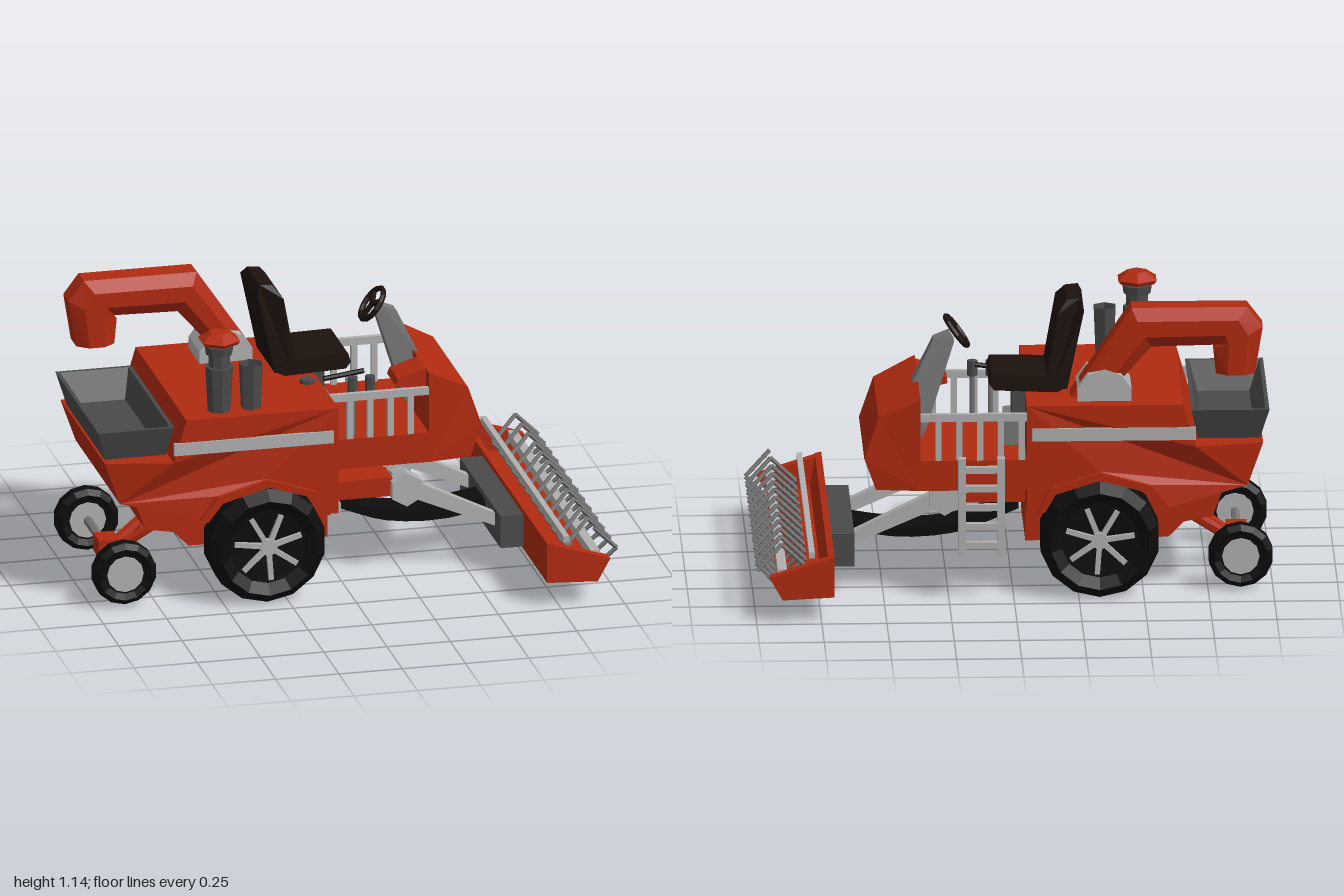
import * as THREE from 'three';
import { mergeGeometries } from 'three/addons/utils/BufferGeometryUtils.js';

const mat = (color) => new THREE.MeshStandardMaterial({ color, flatShading: true, side: THREE.DoubleSide });
const V = (x, y, z) => new THREE.Vector3(x, y, z);

export function createModel() {
  const root = new THREE.Group();
  const red = mat(0xb02a10), dark = mat(0x4a4a4a), mid = mat(0x777777);
  const light = mat(0xb0b0b0), black = mat(0x0c0c0c), leather = mat(0x1c120e);

  const add = (name, geo, material, parent = root) => {
    const m = new THREE.Mesh(geo, material);
    m.name = name;
    parent.add(m);
    return m;
  };
  // Box given by its two extreme corners
  const box = (x0, x1, y0, y1, z0, z1) =>
    new THREE.BoxGeometry(x1 - x0, y1 - y0, z1 - z0).translate((x0 + x1) / 2, (y0 + y1) / 2, (z0 + z1) / 2);
  // Side profile in x, y stretched from z0 to z1
  const slab = (pts, z0, z1) =>
    new THREE.ExtrudeGeometry(new THREE.Shape(pts.map((p) => new THREE.Vector2(...p))),
      { depth: z1 - z0, bevelEnabled: false }).translate(0, 0, z0);
  // Straight rod between two points
  const rod = (a, b, r, sides = 6) => {
    const d = b.clone().sub(a);
    const q = new THREE.Quaternion().setFromUnitVectors(V(0, 1, 0), d.clone().normalize());
    return new THREE.CylinderGeometry(r, r, d.length(), sides).applyQuaternion(q)
      .translate((a.x + b.x) / 2, (a.y + b.y) / 2, (a.z + b.z) / 2);
  };
  const pole = (x, z, y0, y1, r0, r1, sides = 8, open = false) =>
    new THREE.CylinderGeometry(r1, r0, y1 - y0, sides, 1, open).translate(x, (y0 + y1) / 2, z);
  // Skin through equal-length loops, closed at both ends
  const loft = (loops) => {
    const n = loops[0].length, pos = [], tri = (...v) => v.forEach((p) => pos.push(p.x, p.y, p.z));
    for (let i = 0; i < loops.length - 1; i++) {
      for (let j = 0; j < n; j++) {
        const k = (j + 1) % n, A = loops[i], B = loops[i + 1];
        tri(A[j], A[k], B[k]);
        tri(A[j], B[k], B[j]);
      }
    }
    for (let j = 1; j < n - 1; j++) {
      const A = loops[0], B = loops[loops.length - 1];
      tri(A[0], A[j + 1], A[j]);
      tri(B[0], B[j], B[j + 1]);
    }
    const g = new THREE.BufferGeometry();
    g.setAttribute('position', new THREE.Float32BufferAttribute(pos, 3));
    g.computeVertexNormals();
    return g;
  };
  const taperZ = (geo, centre, factor) => {
    const p = geo.attributes.position;
    for (let i = 0; i < p.count; i++) p.setZ(i, centre + (p.getZ(i) - centre) * factor(p.getX(i), p.getY(i)));
    geo.computeVertexNormals();
    return geo;
  };

  // Body: side shells with wheel arches around a narrower belly
  const top = [[-0.05, 0.77], [-0.65, 0.77], [-0.70, 0.60], [-0.96, 0.60], [-0.90, 0.43]];
  const arch = [[-0.60, 0.36], [-0.53, 0.45], [-0.33, 0.505], [-0.14, 0.44], [-0.085, 0.34], [-0.05, 0.34]];
  const rearTaper = (x) => (x < -0.8 ? 0.87 : 1);
  for (const [name, z0, z1] of [['leftBodySide', 0.21, 0.41], ['rightBodySide', -0.43, -0.23]])
    add(name, taperZ(slab([...top, ...arch], z0, z1), -0.01, rearTaper), red);
  add('bodyCore', slab([...top, [-0.83, 0.43], [-0.77, 0.27], [-0.66, 0.25], [-0.60, 0.19], [-0.05, 0.18]],
    -0.25, 0.23), red);
  for (const z of [0.41, -0.43]) {
    add('sideStripe', box(-0.70, -0.07, 0.63, 0.68, z - 0.006, z + 0.006), light);
    // Thin lip over each wheel arch
    const lip = [...arch.slice(0, 5), [-0.12, 0.35], [-0.16, 0.42], [-0.33, 0.475], [-0.51, 0.425], [-0.57, 0.35]];
    add('wheelArchLip', slab(lip, z - 0.02, z + 0.02), red);
  }

  // Operator platform, nose and side fairing
  add('platformFloor', box(-0.05, 0.37, 0.435, 0.555, -0.43, 0.19), red);
  add('nose', taperZ(slab([[0.36, 0.435], [0.53, 0.435], [0.575, 0.56], [0.52, 0.72], [0.36, 0.80]], -0.43, 0.19),
    -0.12, (x) => (x > 0.4 ? 0.93 : 1)), red);
  add('dashboard', slab([[0.24, 0.74], [0.25, 0.765], [0.36, 0.80], [0.36, 0.71]], 0, 0.14), red);
  add('underStep', box(-0.05, 0.21, 0.32, 0.395, -0.20, 0.22), red);
  add('stepBracket', box(-0.05, 0.01, 0.23, 0.30, 0.15, 0.2), light);

  // Railings on both sides of the platform
  for (const z of [0.18, -0.42]) {
    const parts = [box(-0.05, 0.36, 0.71, 0.74, z - 0.01, z + 0.01)];
    for (const x of [-0.03, 0.05, 0.13, 0.21, 0.29])
      parts.push(box(x - 0.012, x + 0.012, 0.55, 0.72, z - 0.01, z + 0.01));
    add('railing', mergeGeometries(parts), light);
  }
  // Ladder on the right side
  const ladder = [0.05, 0.20].map((x) => box(x - 0.015, x + 0.015, 0.18, 0.57, -0.465, -0.43));
  for (let i = 0; i < 5; i++) ladder.push(box(0.05, 0.20, 0.21 + i * 0.075, 0.235 + i * 0.075, -0.46, -0.435));
  add('ladder', mergeGeometries(ladder), light);

  // Wheels: chamfered tyres turned about the axle
  const tyre = (r, w, inner) => new THREE.LatheGeometry(
    [[0, -w * 0.6], [inner, -w * 0.7], [r * 0.83, -w], [r, -w * 0.55], [r, w * 0.55], [r * 0.83, w], [inner, w * 0.7], [0, w * 0.6]]
      .map((p) => new THREE.Vector2(...p)), 14).rotateX(Math.PI / 2);
  for (const s of [1, -1]) {
    const drive = new THREE.Group();
    drive.name = 'driveWheel';
    drive.position.set(-0.33, 0.232, s > 0 ? 0.355 : -0.365);
    root.add(drive);
    add('tyre', tyre(0.232, 0.095, 0.15), black, drive);
    const spokes = [new THREE.CylinderGeometry(0.035, 0.035, 0.03, 7).rotateX(Math.PI / 2).translate(0, 0, s * 0.07)];
    for (let i = 0; i < 7; i++)
      spokes.push(box(0, 0.135, -0.01, 0.01, -0.012, 0.012).rotateZ(i * Math.PI * 2 / 7 + 0.3).translate(0, 0, s * 0.066));
    add('spokes', mergeGeometries(spokes), light, drive);

    const rear = new THREE.Group();
    rear.name = 'rearWheel';
    rear.position.set(-0.875, 0.135, s * 0.31);
    root.add(rear);
    add('rearTyre', tyre(0.125, 0.04, 0.08), black, rear);
    add('rearHub', new THREE.CylinderGeometry(0.072, 0.072, 0.065, 12).rotateX(Math.PI / 2), light, rear);
    add('rearStrut', rod(V(-0.66, 0.25, s * 0.07), V(-0.86, 0.11, s * 0.02), 0.022), red);
  }
  add('driveAxle', rod(V(-0.33, 0.23, -0.36), V(-0.33, 0.23, 0.35), 0.04, 8), dark);
  add('rearAxle', rod(V(-0.875, 0.135, -0.31), V(-0.875, 0.135, 0.31), 0.018), mid);
  add('rearAxleBlock', box(-0.91, -0.83, 0.1, 0.17, -0.05, 0.05), red);

  // Open grain hopper
  const rim = (x0, x1, y, zh) => [V(x0, y, -zh), V(x1, y, -zh), V(x1, y, zh), V(x0, y, zh)];
  add('hopper', loft([rim(-0.95, -0.71, 0.60, 0.31), rim(-0.985, -0.685, 0.725, 0.355),
    rim(-0.97, -0.70, 0.725, 0.34), rim(-0.93, -0.73, 0.62, 0.27)]), dark);

  // Unloading pipe: eight-sided section between an outer and an inner line
  const stations = [[-0.22, 0.78, -0.36, 0.78], [-0.455, 1.13, -0.53, 0.975], [-0.90, 1.13, -0.78, 0.98],
    [-0.96, 1.05, -0.77, 0.965], [-0.93, 0.865, -0.78, 0.865]];
  const section = [[0, 0.045], [0.3, 0.08], [0.7, 0.08], [1, 0.045], [1, -0.045], [0.7, -0.08], [0.3, -0.08], [0, -0.045]];
  add('unloadingPipe', loft(stations.map(([ox, oy, ix, iy]) =>
    section.map(([t, z]) => V(ox + (ix - ox) * t, oy + (iy - oy) * t, z - 0.285)))), red);
  add('pipePivot', rod(V(-0.35, 0.785, -0.37), V(-0.35, 0.785, -0.19), 0.11, 10), light);

  // Exhaust stacks
  add('exhaustBase', pole(-0.50, 0.32, 0.77, 0.95, 0.045, 0.055), dark);
  add('exhaustTop', pole(-0.50, 0.32, 0.95, 1.05, 0.042, 0.042), dark);
  add('exhaustRing', pole(-0.50, 0.32, 1.0, 1.035, 0.052, 0.057), dark);
  add('exhaustCap', pole(-0.50, 0.32, 1.045, 1.06, 0.075, 0.085, 6), red);
  add('exhaustCapTop', pole(-0.50, 0.32, 1.06, 1.09, 0.085, 0.04, 6), red);
  add('airIntake', pole(-0.375, 0.32, 0.77, 0.95, 0.04, 0.048, 6, true), dark);

  // Seat
  const cushion = slab([[-0.20, 0.79], [-0.17, 0.775], [0.07, 0.785], [0.09, 0.81], [0.08, 0.845], [-0.15, 0.84]], -0.26, 0.03);
  const backrest = slab([[-0.21, 0.79], [-0.275, 1.10], [-0.26, 1.14], [-0.21, 1.135], [-0.175, 1.09], [-0.13, 0.84], [-0.15, 0.79]], -0.27, 0.03);
  add('seatCushion', cushion, leather);
  add('seatBack', taperZ(backrest, -0.12, (x, y) => (y > 1.12 ? 0.7 : 1)), leather);
  add('seatPedestal', box(-0.12, 0.0, 0.62, 0.78, -0.2, -0.03), dark);
  add('pedestalFoot', box(-0.05, 0.03, 0.55, 0.65, -0.22, -0.01), mid);

  // Steering column and wheel
  const column = slab([[0.22, 0.95], [0.24, 0.985], [0.30, 0.96], [0.39, 0.77], [0.36, 0.55], [0.33, 0.60]], -0.165, -0.075);
  add('steeringColumn', taperZ(column, -0.12, (x, y) => (y > 0.9 ? 0.65 : 1.05)), mid);
  const steering = [new THREE.TorusGeometry(0.07, 0.011, 6, 14)];
  for (let i = 0; i < 3; i++) steering.push(box(0, 0.07, -0.01, 0.01, -0.007, 0.007).rotateZ(i * Math.PI * 2 / 3 + Math.PI / 6));
  const wheel = add('steeringWheel', mergeGeometries(steering), leather);
  wheel.position.set(0.21, 0.985, -0.12);
  wheel.lookAt(0.21 - 0.8, 0.985 + 0.6, -0.12);

  // Controls beside the seat
  add('fuelCap', pole(-0.10, 0.105, 0.76, 0.785, 0.03, 0.03), dark);
  for (const x of [0.07, 0.14]) {
    add('leverKnob', pole(x, 0.14, 0.73, 0.79, 0.02, 0.02), dark);
    add('leverStem', pole(x, 0.14, 0.55, 0.73, 0.01, 0.01), mid);
  }
  add('handLever', rod(V(-0.03, 0.77, 0.08), V(0.13, 0.79, 0.08), 0.01), black);

  // Lift arms with cross beam
  for (const z of [0.215, -0.215]) {
    add('armPivot', new THREE.CylinderGeometry(0.068, 0.068, 0.07, 6).rotateX(Math.PI / 2).translate(0.26, 0.35, z), light);
    const arm = [[0.28, 0.385], [0.62, 0.215], [0.62, 0.165], [0.26, 0.32]];
    add('liftArm', slab(arm, z - 0.02, z + 0.02), light);
  }
  add('armCrossBeam', rod(V(0.26, 0.35, -0.21), V(0.26, 0.35, 0.21), 0.045, 8), light);
  add('armCrossBlock', box(0.2, 0.31, 0.30, 0.4, -0.1, 0.1), light);

  // Curved feeder belt
  const belt = new THREE.CatmullRomCurve3([V(-0.03, 0.28, 0), V(0.1, 0.225, 0), V(0.22, 0.185, 0), V(0.42, 0.17, 0), V(0.63, 0.20, 0)]);
  add('feederBelt', loft(belt.getPoints(10).map((p) =>
    [[0.02, -0.08], [0.02, 0.07], [-0.02, 0.07], [-0.02, -0.08]].map(([y, z]) => V(p.x, p.y + y, z)))), black);
  add('feederHousing', box(0.61, 0.705, 0.11, 0.24, -0.34, 0.33), dark);

  // Header trough
  add('headerTrough', slab([[0.70, 0.10], [0.70, 0.26], [0.725, 0.255], [0.745, 0.135], [0.915, 0.12], [0.90, 0.09]], -0.73, 0.72), red);
  for (const z of [-0.73, 0.675])
    add('headerEnd', slab([[0.70, 0.10], [0.70, 0.26], [0.95, 0.18], [0.90, 0.09]], z, z + 0.045), red);
  add('rearReelBar', box(0.775, 0.797, 0.245, 0.27, -0.69, 0.68), light);
  add('reelShaft', box(0.882, 0.918, 0.167, 0.203, -0.69, 0.68), light);

  // Reel: a square coil winding along the shaft
  const coil = (k) => V(0.9 + 0.095 * Math.cos(k * Math.PI / 2), 0.19 + 0.097 * Math.sin(k * Math.PI / 2), -0.66 + k * 0.0269);
  const turns = [];
  for (let k = 0; k < 49; k++) turns.push(rod(coil(k), coil(k + 1), 0.009, 5));
  add('reelCoil', mergeGeometries(turns), mid);

  return root;
}
